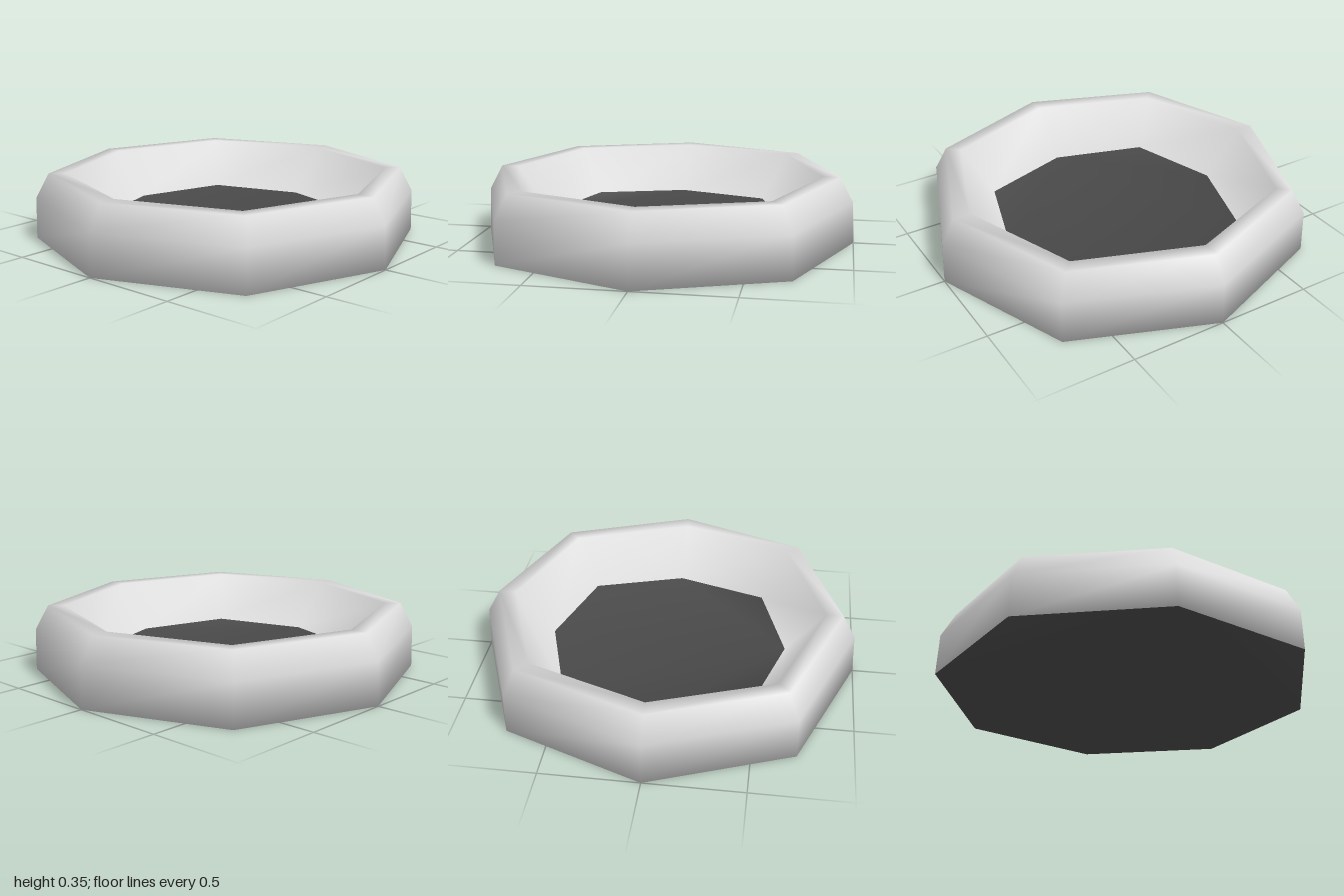
import * as THREE from 'three';

const SIDES = 8;

// Rings from the base, over the rim, down to the floor:
// [radius at the axis corners, radius at the diagonal corners, height]
const RINGS = [
  [1.0, 1.02, 0],
  [0.99, 1.015, 0.22],
  [0.92, 0.945, 0.35],
  [0.83, 0.86, 0.35],
  [0.63, 0.68, 0.11],
];

export function createModel() {
  const shell = new THREE.MeshStandardMaterial({ color: 0xdcdcdc });
  shell.name = 'light grey shell';
  const base = new THREE.MeshStandardMaterial({ color: 0x484848 });
  base.name = 'dark grey base';

  // Corners of each octagonal ring
  const positions = [];
  for (const [axis, diagonal, y] of RINGS) {
    for (let i = 0; i < SIDES; i++) {
      const a = (i / SIDES) * Math.PI * 2;
      const r = i % 2 ? diagonal : axis;
      positions.push(r * Math.sin(a), y, r * Math.cos(a));
    }
  }

  // Outer wall, bevel, rim and inner slope
  const index = [];
  for (let k = 0; k < RINGS.length - 1; k++) {
    for (let i = 0; i < SIDES; i++) {
      const j = (i + 1) % SIDES;
      const a = k * SIDES + i, b = k * SIDES + j;
      index.push(a, b, b + SIDES, a, b + SIDES, a + SIDES);
    }
  }
  const wallCount = index.length;

  // Floor inside and underside
  const top = (RINGS.length - 1) * SIDES;
  for (let i = 1; i < SIDES - 1; i++) {
    index.push(top, top + i, top + i + 1);
    index.push(0, i + 1, i);
  }

  const geometry = new THREE.BufferGeometry();
  geometry.setAttribute('position', new THREE.Float32BufferAttribute(positions, 3));
  geometry.setIndex(index);
  geometry.addGroup(0, wallCount, 0);
  geometry.addGroup(wallCount, index.length - wallCount, 1);
  geometry.computeVertexNormals();

  const dish = new THREE.Mesh(geometry, [shell, base]);
  dish.name = 'octagonalDish';

  const group = new THREE.Group();
  group.name = 'dish';
  group.add(dish);
  return group;
}
